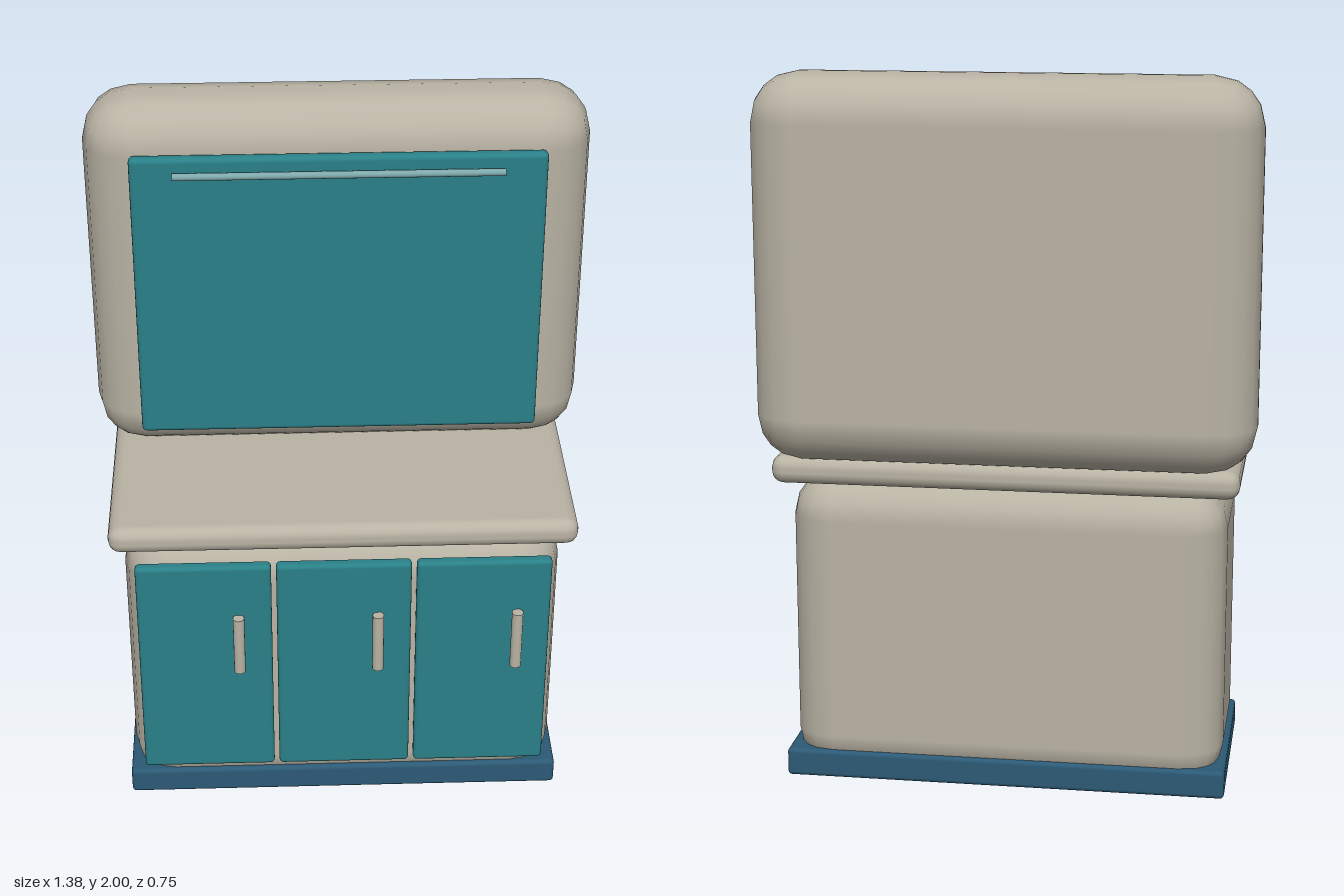
import * as THREE from 'three';
import { RoundedBoxGeometry } from 'three/addons/geometries/RoundedBoxGeometry.js';

const material = (color) => new THREE.MeshStandardMaterial({ color });

export function createModel() {
  const model = new THREE.Group();
  model.name = 'dresser';

  const cream = material(0xb9b3a4);
  const teal = material(0x2a8088);
  const navy = material(0x2c5a76);
  const paleTeal = material(0x7fa9ac);

  function add(name, geometry, mat, x, y, z) {
    const mesh = new THREE.Mesh(geometry, mat);
    mesh.name = name;
    mesh.position.set(x, y, z);
    model.add(mesh);
    return mesh;
  }

  // Rounded box given by its extents along each axis
  function block(name, [x0, x1], [y0, y1], [z0, z1], radius, mat) {
    const geometry = new RoundedBoxGeometry(x1 - x0, y1 - y0, z1 - z0, 2, radius);
    return add(name, geometry, mat, (x0 + x1) / 2, (y0 + y1) / 2, (z0 + z1) / 2);
  }

  // Base, lower cabinet, worktop and upper cabinet
  block('plinth', [-0.623, 0.623], [0, 0.08], [-0.28, 0.315], 0.012, navy);
  block('lowerCabinet', [-0.612, 0.612], [0.003, 0.875], [-0.277, 0.31], 0.12, cream);
  block('worktop', [-0.648, 0.648], [0.866, 0.946], [-0.302, 0.335], 0.035, cream);
  block('upperCabinet', [-0.69, 0.69], [0.93, 2], [-0.374, -0.082], 0.135, cream);

  // Three doors, each with a round upright handle
  for (let i = -1; i <= 1; i++) {
    const x = i * 0.39;
    block('door', [x - 0.188, x + 0.188], [0.12, 0.828], [0.308, 0.343], 0.012, teal);
    add('doorHandle', new THREE.CylinderGeometry(0.016, 0.016, 0.185, 16), cream, x + 0.095, 0.572, 0.357);
  }

  // Large upper panel with its thin horizontal rail
  block('upperPanel', [-0.56, 0.56], [1.028, 1.879], [-0.082, -0.046], 0.014, teal);
  const rail = add('panelRail', new THREE.CylinderGeometry(0.01, 0.01, 0.888, 12), paleTeal, 0, 1.834, -0.032);
  rail.rotation.z = Math.PI / 2;

  return model;
}
